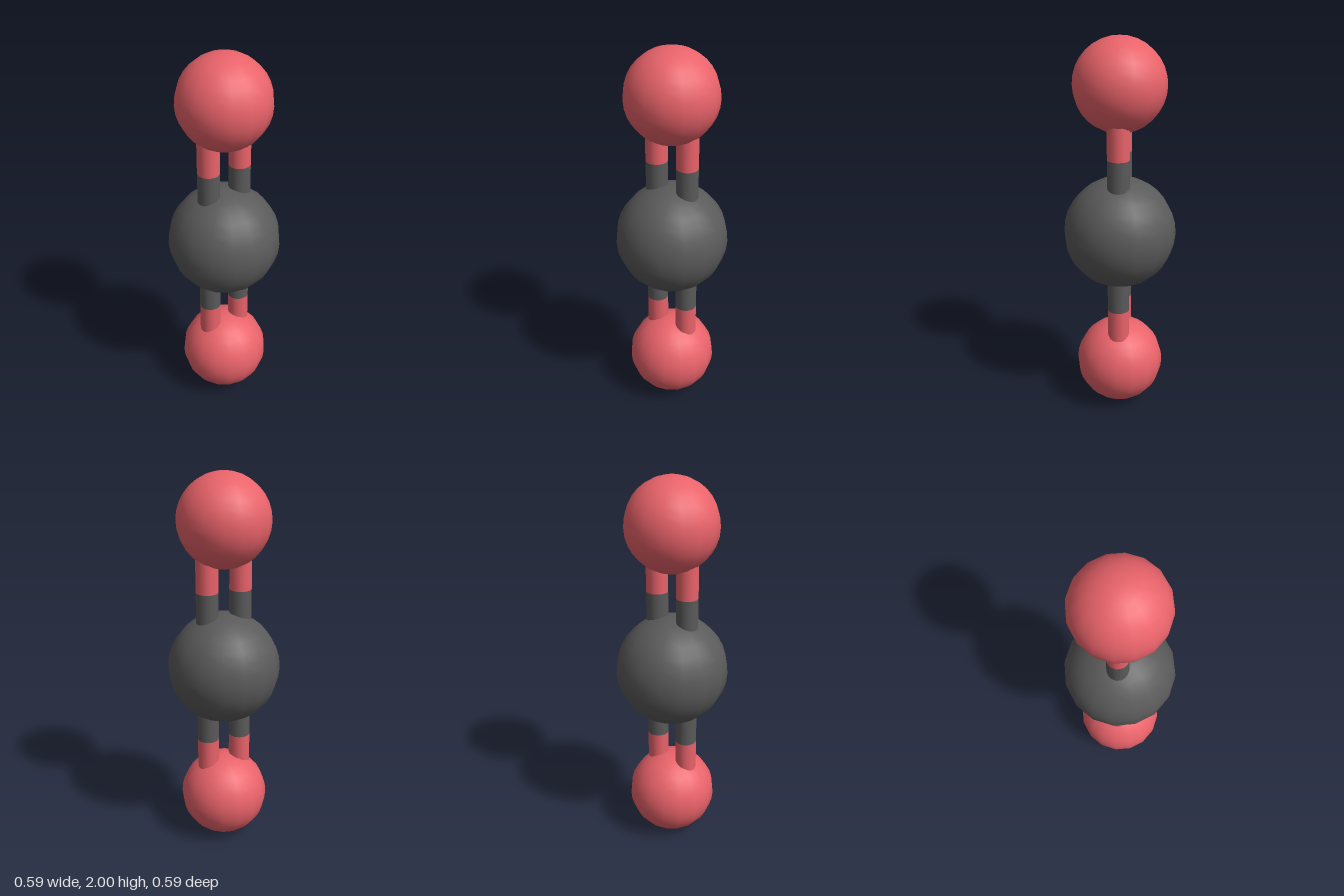
import * as THREE from 'three';

const END_R = 0.235, CORE_R = 0.293, ROD_R = 0.057, ROD_X = 0.09;
const MID = 1, SPLIT = 0.413, END_OFFSET = 1 - END_R;

export function createModel() {
  const model = new THREE.Group();
  const dark = new THREE.MeshStandardMaterial({ color: 0x5a5a5a });
  const red = new THREE.MeshStandardMaterial({ color: 0xe9636a });

  const add = (name, geometry, material, x, y) => {
    const mesh = new THREE.Mesh(geometry, material);
    mesh.name = name;
    mesh.position.set(x, y, 0);
    model.add(mesh);
  };
  const ball = (name, r, material, y) =>
    add(name, new THREE.SphereGeometry(r, 16, 16), material, 0, y);
  // open rod between two distances from the centre, above or below it
  const rod = (name, from, to, material, x, dir) =>
    add(name, new THREE.CylinderGeometry(ROD_R, ROD_R, to - from, 16, 1, true),
      material, x, MID + dir * (from + to) / 2);

  // large central ball
  ball('centreBall', CORE_R, dark, MID);

  for (const [where, dir] of [['upper', 1], ['lower', -1]]) {
    // end ball
    ball(where + 'EndBall', END_R, red, MID + dir * END_OFFSET);
    // pair of two-coloured rods
    for (const [side, sx] of [['Left', 1], ['Right', -1]]) {
      rod(where + side + 'InnerRod', 0.1, SPLIT, dark, sx * ROD_X, dir);
      rod(where + side + 'OuterRod', SPLIT, END_OFFSET - 0.08, red, sx * ROD_X, dir);
    }
  }
  return model;
}
